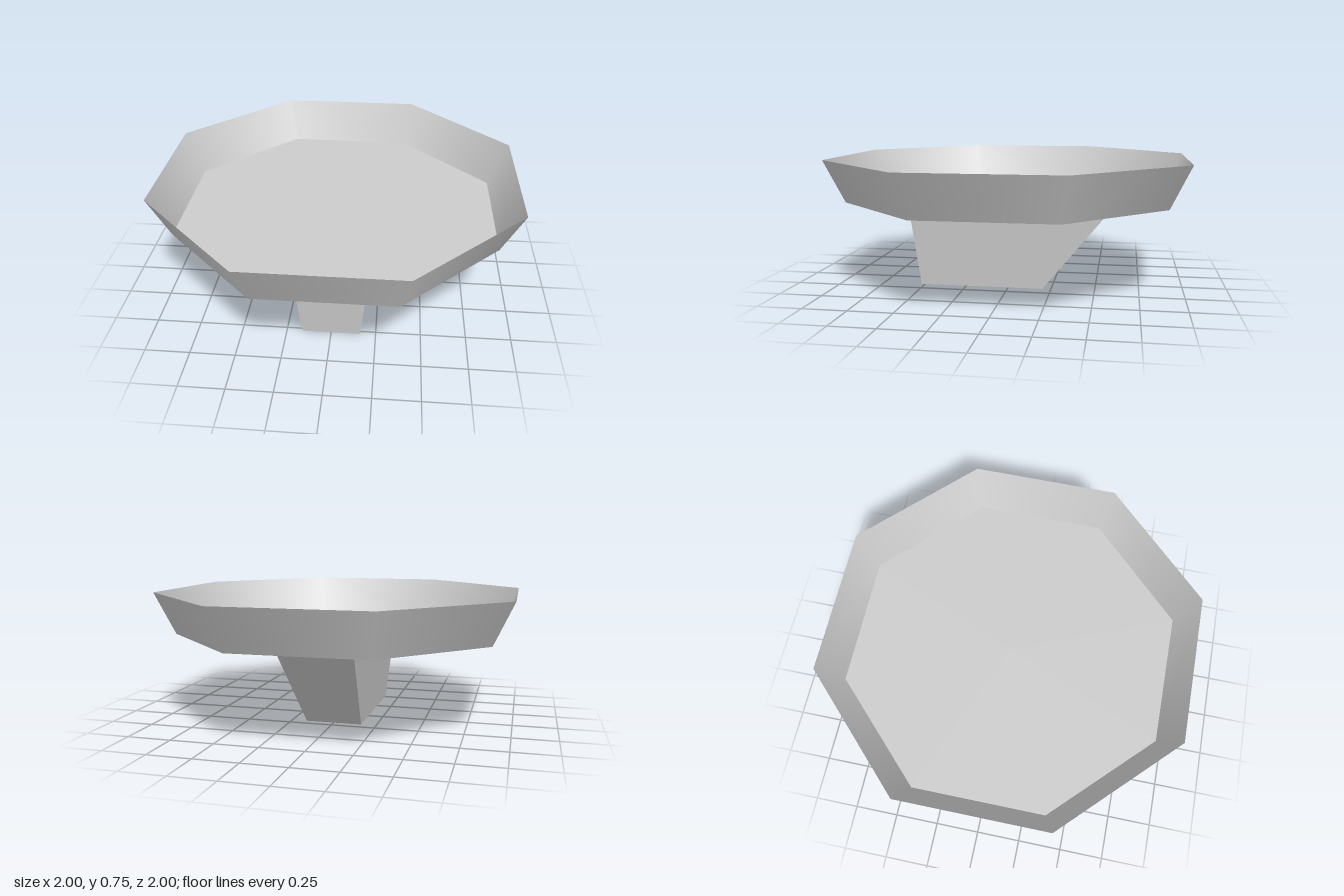
import * as THREE from 'three';

const RIM_Y = 0.75, FLOOR_Y = 0.51;
const toCorner = 1 / Math.cos(Math.PI / 8); // octagon apothem to corner radius

export function createModel() {
  const group = new THREE.Group();
  const grey = new THREE.MeshStandardMaterial({ color: 0xcccccc, side: THREE.DoubleSide });
  grey.name = 'light grey';

  const add = (name, geometry, y = 0) => {
    const mesh = new THREE.Mesh(geometry, grey);
    mesh.name = name;
    mesh.position.y = y;
    group.add(mesh);
  };

  // Flared, smooth-shaded wall of the eight-sided dish, open at the top
  add('dishWall', new THREE.CylinderGeometry(
    toCorner, 0.89 * toCorner, RIM_Y - FLOOR_Y, 8, 1, true, Math.PI / 8), (RIM_Y + FLOOR_Y) / 2);

  // Flat floor of the dish
  const floor = new THREE.CircleGeometry(0.89 * toCorner, 8, Math.PI / 8);
  floor.rotateX(-Math.PI / 2);
  add('dishFloor', floor, FLOOR_Y);

  // Tapered pedestal with a strongly sloped back, tucked just under the floor
  const pedestal = new THREE.BoxGeometry(1, 1, 1);
  const p = pedestal.attributes.position;
  for (let i = 0; i < p.count; i++) {
    const top = p.getY(i) > 0, front = p.getZ(i) > 0;
    const x = Math.sign(p.getX(i)) * (top ? 0.215 : 0.163);
    const z = front ? (top ? 0.58 : 0.52) : (top ? -0.61 : -0.2);
    p.setXYZ(i, x, top ? FLOOR_Y - 0.002 : 0, z);
  }
  pedestal.computeVertexNormals();
  add('pedestal', pedestal);

  return group;
}
